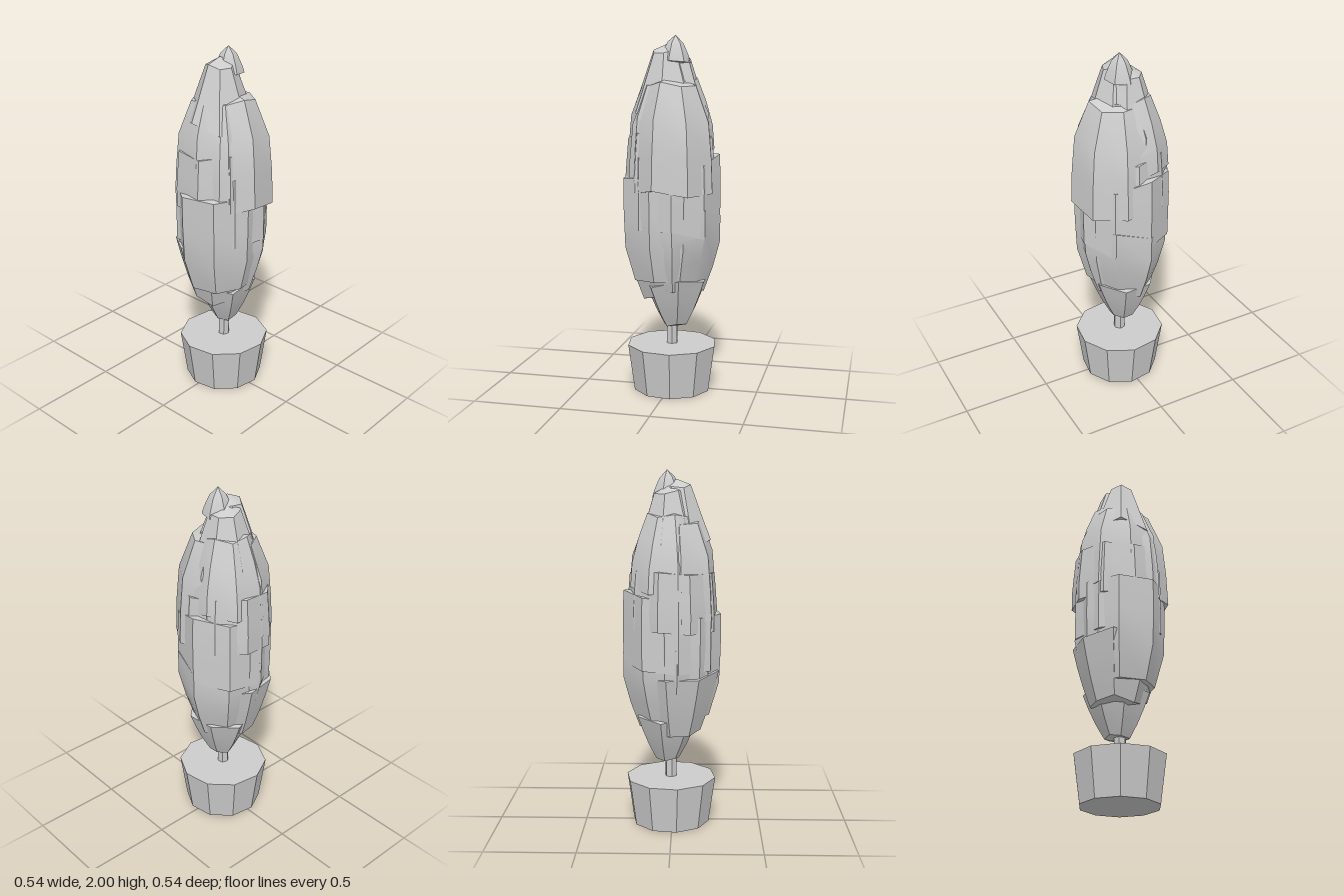
import * as THREE from 'three';
import { toCreasedNormals } from 'three/addons/utils/BufferGeometryUtils.js';

const grey = new THREE.MeshStandardMaterial({ color: 0xcccccc });
grey.name = 'plain grey';

// Outline of the whole crown: height, radius
const outline = [[0.36, 0.06], [0.5, 0.135], [0.7, 0.21], [0.88, 0.258],
  [1.25, 0.26], [1.54, 0.235], [1.73, 0.155], [1.9, 0.09], [2, 0.03]];

function crownRadius(y) {
  const i = Math.max(1, outline.findIndex(([h]) => h >= y));
  const [y0, r0] = outline[i - 1];
  const [y1, r1] = outline[i];
  return THREE.MathUtils.mapLinear(y, y0, y1, r0, r1);
}

// Small seeded generator, -1..1
function seeded(seed) {
  let s = seed * 791900 + 17;
  return () => {
    s = (s * 16807) % 2147483647;
    return (s / 2147483647) * 2 - 1;
  };
}

// Leaf clump: a closed lathe following the crown outline, with ragged rims
function clump(bottom, top, scale, sides, seed) {
  const rows = 4;
  const profile = [new THREE.Vector2(0, bottom - 0.02)];
  for (let i = 0; i < rows; i++) {
    const y = THREE.MathUtils.lerp(bottom, top, i / (rows - 1));
    profile.push(new THREE.Vector2(crownRadius(y) * scale, y));
  }
  profile.push(new THREE.Vector2(0, Math.min(2, top + 0.04)));

  const rand = seeded(seed);
  const geo = new THREE.LatheGeometry(profile, sides, rand());
  const columns = Array.from({ length: sides }, () => ({ lift: rand() * 0.03, grow: 1 + rand() * 0.04 }));
  const pos = geo.attributes.position;
  for (let i = 0; i < pos.count; i++) {
    const r = profile[i % profile.length].x;
    if (r === 0) continue;
    const { lift, grow } = columns[Math.floor(i / profile.length) % sides];
    pos.setXYZ(i, pos.getX(i) * grow, pos.getY(i) + lift * Math.min(1, r / 0.2), pos.getZ(i) * grow);
  }
  return toCreasedNormals(geo, 0.6);
}

// Each clump: bottom, top, scale, sides, centre x, centre z
const clumps = [
  [0.38, 0.64, 1, 7, 0.03, 0],
  [0.54, 0.88, 0.96, 8, -0.02, -0.02],
  [0.59, 1.03, 1, 8, 0.015, 0],
  [0.66, 1.24, 0.97, 8, -0.015, 0.01],
  [0.92, 1.32, 1, 8, 0.01, 0.005],
  [1.13, 1.45, 0.98, 9, 0, -0.01],
  [1.16, 1.74, 0.96, 8, 0.015, 0.03],
  [1.2, 1.72, 0.93, 8, -0.015, -0.005],
  [1.36, 1.76, 0.93, 9, 0.01, -0.02],
  [1.6, 1.91, 0.9, 7, -0.025, 0.01],
  [1.62, 1.88, 0.88, 7, 0.02, -0.02],
  [1.86, 1.96, 0.8, 6, 0.03, 0.02],
];

export function createModel() {
  const model = new THREE.Group();
  model.name = 'pottedTree';

  const add = (name, geo, x, y, z, parent = model) => {
    const mesh = new THREE.Mesh(geo, grey);
    mesh.name = name;
    mesh.position.set(x, y, z);
    parent.add(mesh);
  };

  // Ten-sided tapered pot and slim trunk
  const pot = new THREE.CylinderGeometry(0.257, 0.22, 0.265, 10, 1, false, 0.165);
  add('pot', toCreasedNormals(pot, 0.3), 0.008, 0.1325, 0.008);
  const trunk = new THREE.CylinderGeometry(0.034, 0.034, 0.3, 6, 1, false, 0.2);
  add('trunk', toCreasedNormals(trunk, 0.3), 0.008, 0.4, 0.008);

  // Foliage from overlapping clumps
  const foliage = new THREE.Group();
  foliage.name = 'foliage';
  clumps.forEach(([bottom, top, scale, sides, x, z], i) =>
    add('leafClump' + (i + 1), clump(bottom, top, scale, sides, i + 1), x, 0, z, foliage));
  model.add(foliage);

  return model;
}
